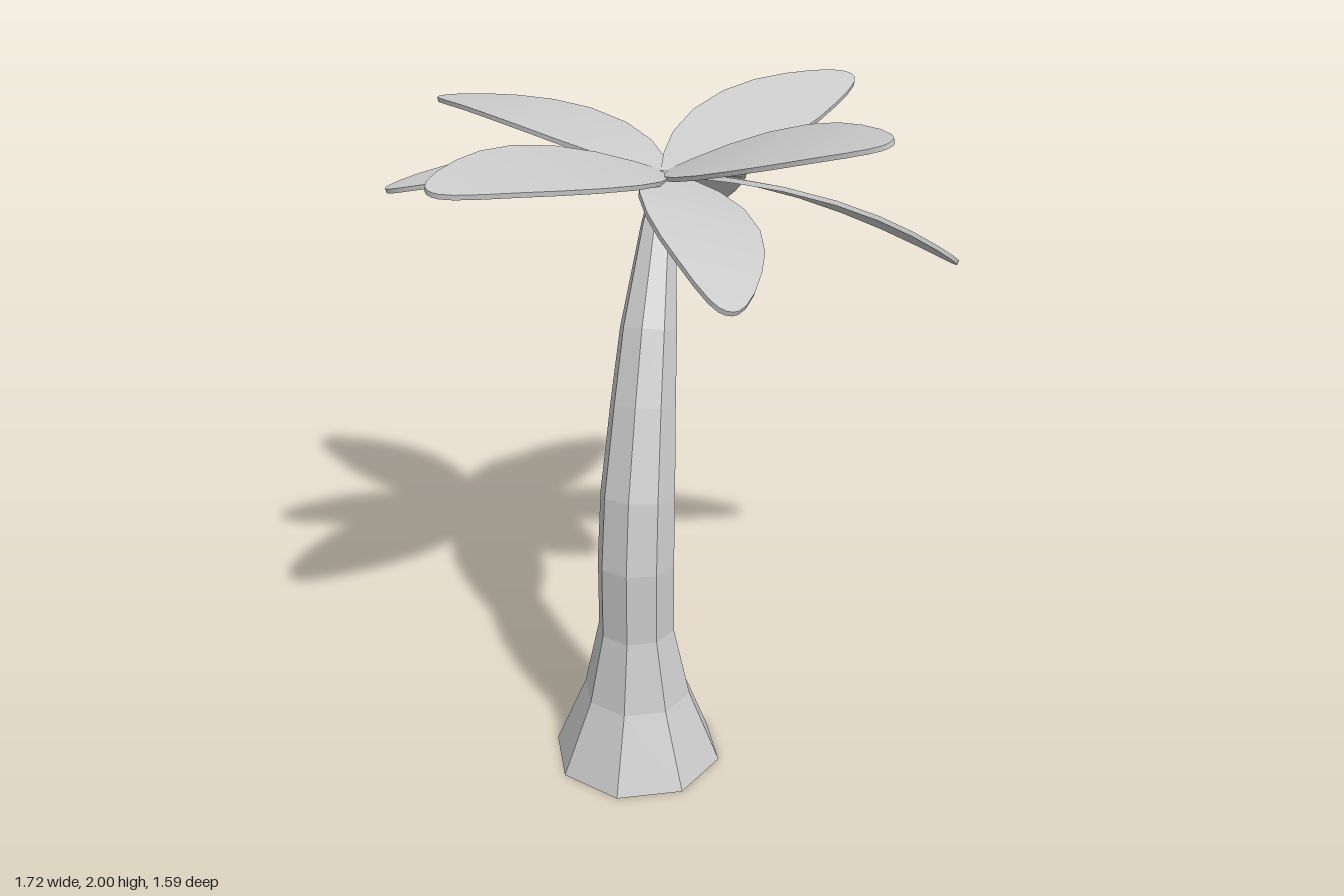
import * as THREE from 'three';
import { toCreasedNormals } from 'three/addons/utils/BufferGeometryUtils.js';

// Closed skin over a list of rings (arrays of Vector3), capped at both ends
function loft(rings) {
  const n = rings[0].length, last = rings.length - 1;
  const pos = rings.flat().flatMap((p) => [p.x, p.y, p.z]);
  const index = [];
  for (let i = 0; i < last; i++) {
    for (let j = 0; j < n; j++) {
      const a = i * n + j, b = i * n + (j + 1) % n;
      index.push(a, a + n, b + n, a, b + n, b);
    }
  }
  for (let j = 1; j < n - 1; j++) {
    index.push(0, j, j + 1, last * n, last * n + j + 1, last * n + j);
  }
  const g = new THREE.BufferGeometry();
  g.setAttribute('position', new THREE.Float32BufferAttribute(pos, 3));
  g.setIndex(index);
  g.computeVertexNormals();
  return g;
}

// Trunk stations: height, z of centre, radius, forward tilt of the ring
const TRUNK = [
  [0, 0.4, 0.263, 0], [0.23, 0.395, 0.167, 0], [0.455, 0.4, 0.118, 0],
  [0.68, 0.4, 0.118, 0.06], [0.89, 0.37, 0.114, 0.2], [1.15, 0.295, 0.099, 0.3],
  [1.36, 0.222, 0.086, 0.4], [1.64, 0.085, 0.053, 0.52], [1.77, 0, 0.032, 0.6],
];

function trunkGeometry() {
  return loft(TRUNK.map(([y, z, r, tilt]) => Array.from({ length: 8 }, (_, j) => {
    const a = (j / 8) * Math.PI * 2, s = r * Math.sin(a);
    return new THREE.Vector3(r * Math.cos(a), y + s * Math.sin(tilt), z + s * Math.cos(tilt));
  })));
}

// Half-width of a leaf along its length
const OUTLINE = [
  [0, 0.02], [0.07, 0.07], [0.18, 0.125], [0.33, 0.163], [0.5, 0.172], [0.65, 0.155],
  [0.78, 0.122], [0.89, 0.085], [0.96, 0.052], [0.99, 0.028], [1, 0.01],
];
const ROOT = new THREE.Vector3(0, 1.77, 0);
const THICK = 0.007;

function leafGeometry({ tip, lift, side, roll, width }) {
  const end = new THREE.Vector3(...tip);
  const flat = new THREE.Vector3(tip[0], 0, tip[2]).normalize();
  const across = new THREE.Vector3(-flat.z, 0, flat.x);
  const wide = across.clone().multiplyScalar(Math.cos(roll)).setY(Math.sin(roll));
  const chord = end.clone().sub(ROOT);
  const rings = OUTLINE.map(([t, w]) => {
    const bow = 4 * t * (1 - t);
    const c = ROOT.clone().lerp(end, t).addScaledVector(across, side * bow);
    c.y += lift * bow;
    // thickness runs along the local normal of the arched leaf
    const along = chord.clone();
    along.y += lift * 4 * (1 - 2 * t);
    const up = wide.clone().cross(along).normalize();
    const corner = (s, u) => c.clone().addScaledVector(wide, s * w * width).addScaledVector(up, u * THICK);
    return [corner(-1, -1), corner(1, -1), corner(1, 1), corner(-1, 1)];
  });
  return toCreasedNormals(loft(rings), 0.6);
}

// One entry per leaf, going round the crown
const LEAVES = [
  { tip: [0, 1.475, -0.795], lift: 0.065, side: 0, roll: 0, width: 1 },
  { tip: [0.465, 1.95, -0.655], lift: 0.025, side: -0.015, roll: -0.25, width: 0.95 },
  { tip: [0.855, 1.415, -0.435], lift: 0.065, side: 0, roll: 0.21, width: 1 },
  { tip: [0.688, 1.99, 0.38], lift: 0.03, side: 0, roll: -0.2, width: 1 },
  { tip: [0.335, 1.625, 0.745], lift: 0.04, side: -0.025, roll: 0.22, width: 0.95 },
  { tip: [-0.435, 1.9, 0.785], lift: 0.04, side: 0, roll: 0.17, width: 1.03 },
  { tip: [-0.795, 1.73, 0.215], lift: 0.05, side: 0, roll: 0, width: 0.82 },
  { tip: [-0.855, 1.86, -0.44], lift: 0.045, side: 0.03, roll: -0.03, width: 1 },
];

export function createModel() {
  const model = new THREE.Group();
  model.name = 'palmTree';

  // Faceted, leaning trunk with a flared foot
  const bark = new THREE.MeshStandardMaterial({ color: 0xcccccc, flatShading: true });
  const trunk = new THREE.Mesh(trunkGeometry(), bark);
  trunk.name = 'trunk';
  model.add(trunk);

  // Crown of broad arching leaves
  const green = new THREE.MeshStandardMaterial({ color: 0xcccccc });
  const crown = new THREE.Group();
  crown.name = 'crown';
  LEAVES.forEach((spec, i) => {
    const leaf = new THREE.Mesh(leafGeometry(spec), green);
    leaf.name = `leaf${i + 1}`;
    crown.add(leaf);
  });
  model.add(crown);
  return model;
}
